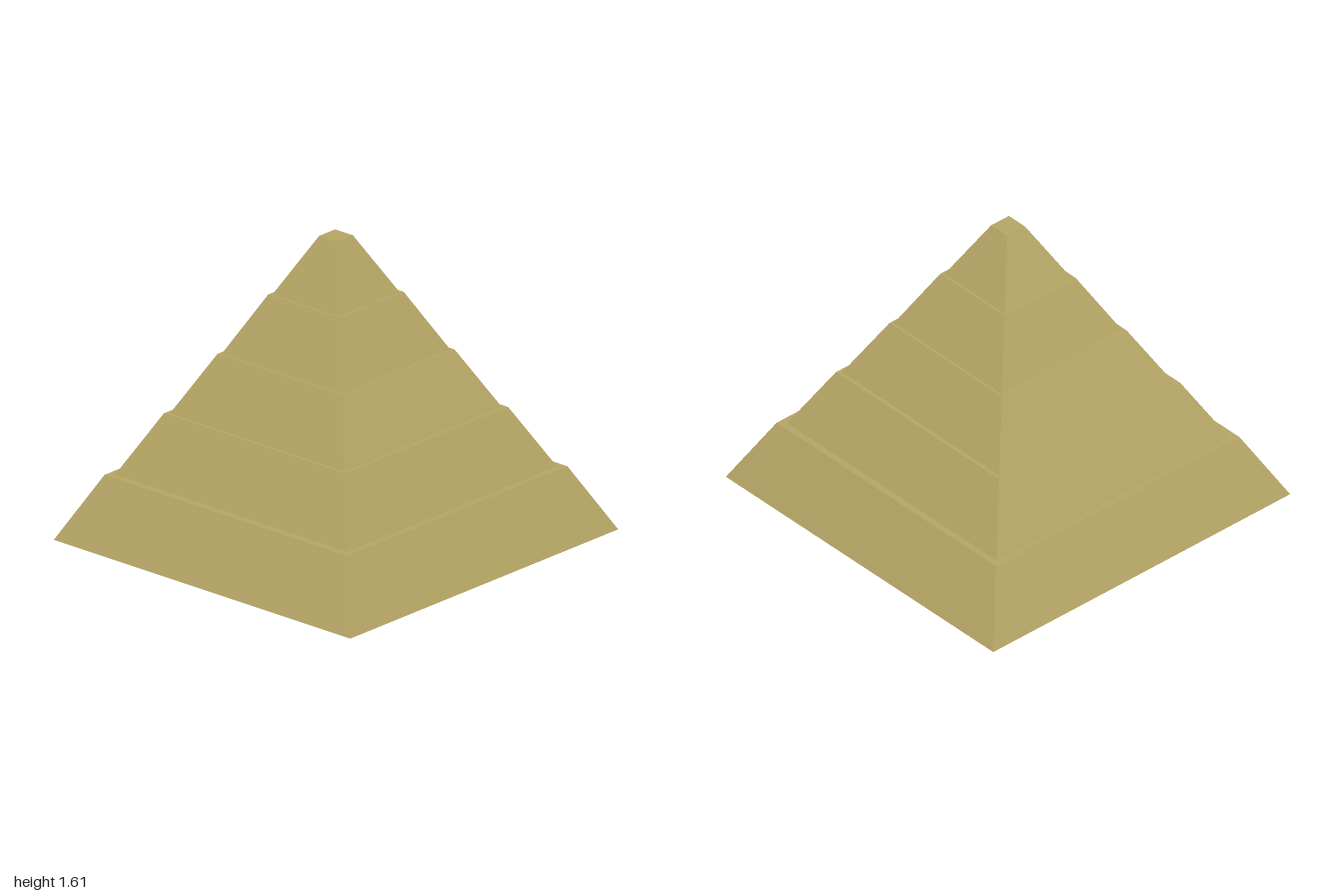
import * as THREE from 'three';

// Square solid from a [half width, height] profile, listed from the bottom centre to the top centre
function squareLathe(profile) {
  const points = profile.map(([w, y]) => new THREE.Vector2(w * Math.SQRT2, y));
  return new THREE.LatheGeometry(points, 4).rotateY(Math.PI / 4).toNonIndexed();
}

export function createModel() {
  const group = new THREE.Group();
  group.name = 'steppedPyramid';
  const sandstone = new THREE.MeshStandardMaterial({ color: 0xb5a565, flatShading: true });
  sandstone.name = 'sandstone';

  // Tiers: bottom half width, top half width, bottom height, top height
  const tiers = [
    ['baseTier', 1, 0.82, 0, 0.345],
    ['secondTier', 0.783, 0.61, 0.345, 0.67],
    ['thirdTier', 0.588, 0.42, 0.67, 0.985],
    ['fourthTier', 0.405, 0.24, 0.985, 1.3],
    ['capTier', 0.225, 0.06, 1.3, 1.61],
  ];
  tiers.forEach(([name, low, high, y0, y1], i) => {
    // The base has a shallow recess underneath
    const underside = i === 0 ? [[0, 0.03], [0.85, 0.03]] : [[0, y0]];
    const geometry = squareLathe([...underside, [low, y0], [high, y1], [0, y1]]);
    geometry.computeVertexNormals();
    const mesh = new THREE.Mesh(geometry, sandstone);
    mesh.name = name;
    group.add(mesh);
  });
  return group;
}
